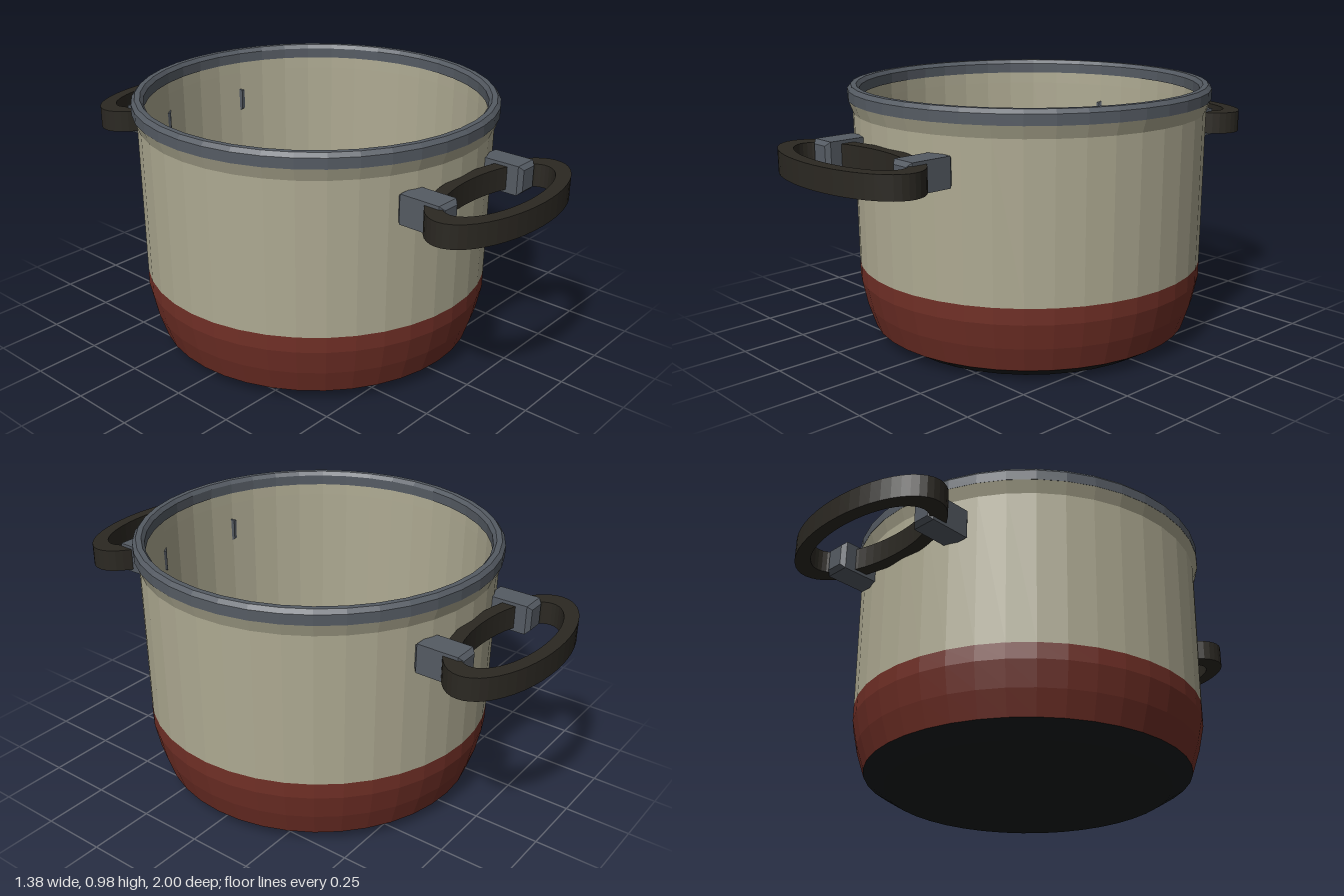
import * as THREE from 'three';

const SEGMENTS = 40;

const flat = (color) => new THREE.MeshStandardMaterial({ color, flatShading: true });

// Revolve a profile of [radius, y] points, listed from the outside bottom upwards
function revolve(name, points, material) {
  const profile = points.map(([r, y]) => new THREE.Vector2(r, y));
  const mesh = new THREE.Mesh(new THREE.LatheGeometry(profile, SEGMENTS), material);
  mesh.name = name;
  return mesh;
}

// Flat oval ring lying in the xz plane, centred on its own origin
function ringGeometry() {
  const shape = new THREE.Shape();
  shape.absellipse(0, 0, 0.363, 0.17, 0, Math.PI * 2, false);
  const hole = new THREE.Path();
  hole.absellipse(0, 0, 0.29, 0.122, 0, Math.PI * 2, true);
  shape.holes.push(hole);
  const height = 0.086;
  const geo = new THREE.ExtrudeGeometry(shape, { depth: height, bevelEnabled: false, curveSegments: 24 });
  geo.translate(0, 0, -height / 2);
  return geo.rotateX(Math.PI / 2);
}

// Block with chamfered edges, centred on its own origin
function chamferedBlock(w, h, d, c) {
  const x = w / 2 - c, y = h / 2 - c;
  const shape = new THREE.Shape([
    new THREE.Vector2(-x, -y), new THREE.Vector2(x, -y),
    new THREE.Vector2(x, y), new THREE.Vector2(-x, y),
  ]);
  const geo = new THREE.ExtrudeGeometry(shape, {
    depth: d - 2 * c, bevelEnabled: true, bevelSegments: 1, bevelSize: c, bevelThickness: c,
  });
  return geo.translate(0, 0, c - d / 2);
}

export function createModel() {
  const model = new THREE.Group();
  model.name = 'cookingPot';

  const enamel = flat(0xaeaa92);
  const red = flat(0x702f26);
  const slate = flat(0x555b63);
  const black = flat(0x181c1d);
  const grip = flat(0x2b2822);

  // Base plate with a sloped edge
  model.add(revolve('basePlate', [[0, 0], [0.54, 0], [0.617, 0.048], [0, 0.048]], black));

  // Lower coloured band, curving in towards the base
  model.add(revolve('lowerBand', [[0.617, 0.048], [0.647, 0.14], [0.667, 0.235], [0.667, 0.295]], red));

  // Upper wall, flaring under the rim, then down the inside to the floor
  model.add(revolve('wall', [
    [0.667, 0.295], [0.672, 0.88], [0.69, 0.928], [0.65, 0.928],
    [0.649, 0.88], [0.642, 0.25], [0.6, 0.1], [0.545, 0.06], [0, 0.06],
  ], enamel));

  // Rim with chamfered top edges
  model.add(revolve('rim', [
    [0.645, 0.926], [0.69, 0.926], [0.69, 0.965], [0.677, 0.98],
    [0.657, 0.98], [0.645, 0.965], [0.645, 0.926],
  ], slate));

  // Two ring handles, each held by a pair of brackets
  const ring = ringGeometry();
  const block = chamferedBlock(0.096, 0.11, 0.187, 0.015);
  for (const side of [1, -1]) {
    const handle = new THREE.Group();
    handle.name = side > 0 ? 'frontHandle' : 'backHandle';
    const loop = new THREE.Mesh(ring, grip);
    loop.name = 'handleRing';
    loop.position.set(0, 0.762, 0.83);
    handle.add(loop);
    for (const x of [-0.235, 0.235]) {
      const bracket = new THREE.Mesh(block, slate);
      bracket.name = x > 0 ? 'leftBracket' : 'rightBracket';
      bracket.position.set(x, 0.762, 0.703);
      handle.add(bracket);
    }
    if (side < 0) handle.rotation.y = Math.PI;
    model.add(handle);
  }
  return model;
}
